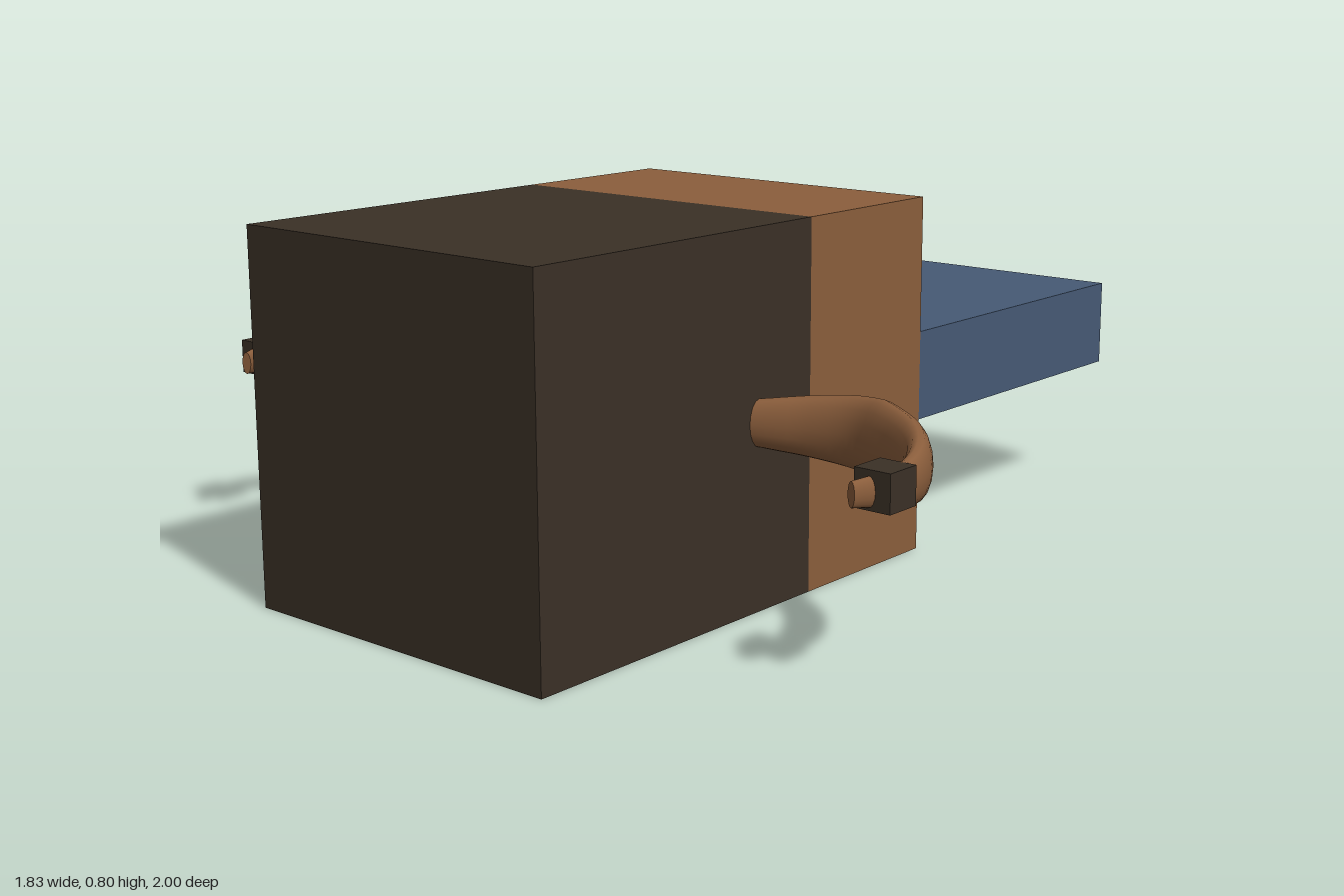
import * as THREE from 'three';

const brown = new THREE.MeshStandardMaterial({ color: 0x8b5e3c });
brown.name = 'brown';
const dark = new THREE.MeshStandardMaterial({ color: 0x3a3026 });
dark.name = 'darkBrown';
const blue = new THREE.MeshStandardMaterial({ color: 0x465a75 });
blue.name = 'slateBlue';

function box(name, material, size, position) {
  const mesh = new THREE.Mesh(new THREE.BoxGeometry(...size), material);
  mesh.name = name;
  mesh.position.set(...position);
  return mesh;
}

// Horn stations along its length: x, z, half thickness, half height
const STATIONS = [
  [0.36, 0.385, 0.027, 0.045],
  [0.42, 0.36, 0.027, 0.053],
  [0.5, 0.325, 0.032, 0.064],
  [0.6, 0.308, 0.036, 0.076],
  [0.68, 0.328, 0.037, 0.083],
  [0.79, 0.392, 0.034, 0.071],
  [0.855, 0.47, 0.027, 0.058],
  [0.885, 0.55, 0.02, 0.044],
  [0.878, 0.61, 0.015, 0.033],
  [0.855, 0.675, 0.011, 0.025],
];

// Flattened, tapering horn swept along a curve; side is +1 (left) or -1 (right)
function hornGeometry(side) {
  const rings = 36, sides = 16, y = 0.4;
  const path = new THREE.CatmullRomCurve3(STATIONS.map(([x, z]) => new THREE.Vector3(x, y, z)));
  const positions = [], index = [];
  const tri = (a, b, c) => (side > 0 ? index.push(a, b, c) : index.push(a, c, b));

  for (let i = 0; i <= rings; i++) {
    const t = i / rings;
    const p = path.getPoint(t);
    const dir = path.getTangent(t);
    const f = t * (STATIONS.length - 1);
    const k = Math.min(Math.floor(f), STATIONS.length - 2);
    const w = THREE.MathUtils.lerp(STATIONS[k][2], STATIONS[k + 1][2], f - k);
    const h = THREE.MathUtils.lerp(STATIONS[k][3], STATIONS[k + 1][3], f - k);
    for (let j = 0; j < sides; j++) {
      const a = (j / sides) * Math.PI * 2;
      const out = w * Math.cos(a);
      positions.push(side * (p.x + dir.z * out), p.y + h * Math.sin(a), p.z - dir.x * out);
    }
  }
  for (let i = 0; i < rings; i++) {
    for (let j = 0; j < sides; j++) {
      const a = i * sides + j, b = i * sides + ((j + 1) % sides);
      tri(a, b, a + sides);
      tri(b, b + sides, a + sides);
    }
  }
  // Flat tip with its own vertices, so its edge stays sharp
  const last = rings * sides, cap = positions.length / 3;
  positions.push(...positions.slice(last * 3));
  for (let j = 1; j < sides - 1; j++) tri(cap, cap + j, cap + j + 1);

  const geometry = new THREE.BufferGeometry();
  geometry.setAttribute('position', new THREE.Float32BufferAttribute(positions, 3));
  geometry.setIndex(index);
  geometry.computeVertexNormals();
  return geometry;
}

export function createModel() {
  const model = new THREE.Group();
  model.name = 'model';

  // Three blocks in a row from front to back
  model.add(
    box('head', dark, [0.8, 0.8, 0.8], [0, 0.4, 0.6]),
    box('body', brown, [0.8, 0.8, 0.4], [0, 0.4, 0]),
    box('backSlab', blue, [0.8, 0.2, 0.8], [0, 0.4, -0.6]),
  );

  // Mirrored horns, each with a dark block near the tip
  for (const side of [1, -1]) {
    const group = new THREE.Group();
    group.name = side > 0 ? 'leftHorn' : 'rightHorn';
    const horn = new THREE.Mesh(hornGeometry(side), brown);
    horn.name = 'horn';
    group.add(horn, box('hornBand', dark, [0.08, 0.076, 0.08], [side * 0.875, 0.403, 0.6]));
    model.add(group);
  }
  return model;
}
